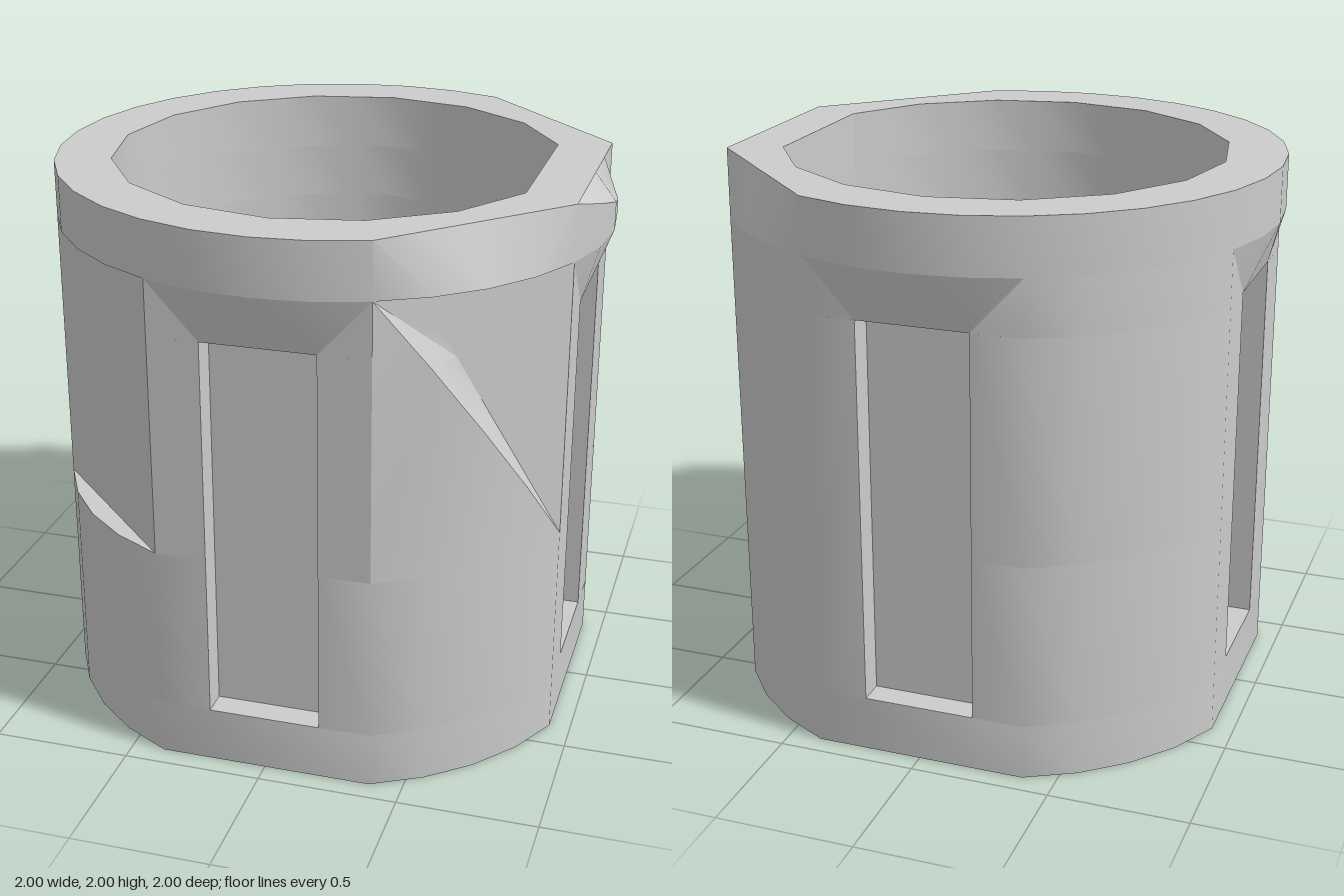
import * as THREE from 'three';
import { toCreasedNormals } from 'three/addons/utils/BufferGeometryUtils.js';

const N = 32, FLAT = 0.924, FLOOR = 0.83, SLOT = 0.2;
const mat = new THREE.MeshStandardMaterial({ color: 0xcccccc });
const matDouble = new THREE.MeshStandardMaterial({ color: 0xcccccc, side: THREE.DoubleSide });

// Points are [x, z] on a 32-sided outer circle of radius 1
const arc = i => [Math.cos(i * Math.PI / 16), Math.sin(i * Math.PI / 16)];
const mix = (a, b, t) => [a[0] + (b[0] - a[0]) * t, a[1] + (b[1] - a[1]) * t];

// 16-sided bore with its +x corner flattened
function bore(i) {
  const k = i % N;
  const corner = j => [0.8 * Math.cos(j * Math.PI / 8), 0.8 * Math.sin(j * Math.PI / 8)];
  if (k <= 2) return mix(corner(-1), corner(1), 0.5 + k / 4);
  if (k >= 30) return mix(corner(-1), corner(1), (k - 30) / 4);
  return mix(corner(Math.floor(k / 2)), corner(Math.ceil(k / 2)), 0.5);
}

// How far arc point i lies along the chord from arc point s to s + 4
function along(i, s) {
  const a = arc(s), b = arc(s + 4), p = arc(i);
  const dx = b[0] - a[0], dz = b[1] - a[1];
  return ((p[0] - a[0]) * dx + (p[1] - a[1]) * dz) / (dx * dx + dz * dz);
}

function mesh(name, geometry, material) {
  const m = new THREE.Mesh(toCreasedNormals(geometry, 0.5), material);
  m.name = name;
  return m;
}

function trianglesMesh(name, pts) {
  const g = new THREE.BufferGeometry();
  g.setAttribute('position', new THREE.Float32BufferAttribute(pts.flat(), 3));
  return mesh(name, g, matDouble);
}

// Horizontal slice of the sleeve with four flats, optional slots and corner cuts
function band(name, y0, y1, slots, cuts) {
  const outline = [];
  for (let i = 0; i < N; i++) {
    const k = i % 8;
    if (k === 0 && slots) {
      const [c, s] = arc(i);
      for (const [r, t] of [[FLAT, -SLOT], [FLOOR, -SLOT], [FLOOR, SLOT], [FLAT, SLOT]])
        outline.push([r * c - t * s, r * s + t * c]);
    }
    const onFlat = k < 2 || k > 6;
    const onCut = cuts && i < 16 && k > 2 && k < 6;
    if (!onFlat && !onCut) outline.push(arc(i));
  }
  const vec = p => new THREE.Vector2(p[0], -p[1]);
  const shape = new THREE.Shape(outline.map(vec));
  // The hole runs the opposite way round, so its wall faces the bore
  shape.holes.push(new THREE.Path(Array.from({ length: N }, (_, i) => vec(bore(N - i)))));
  const g = new THREE.ExtrudeGeometry(shape, { depth: y1 - y0, bevelEnabled: false });
  g.rotateX(-Math.PI / 2).translate(0, y0, 0);
  return mesh(name, g, mat);
}

// Collar lofted from rings; its +x side is bevelled from chords down to the circle
function collar() {
  const rings = [[], [], [], [], []];
  for (let i = 0; i < N; i++) {
    const k = i > 16 ? i - N : i;
    const [x, z] = arc(i), [u, v] = bore(i);
    let top = [x, z], edge = 2;
    if (Math.abs(k) < 6) {
      const s = k > 2 ? 2 : k < -2 ? -6 : -2;
      top = mix(arc(s), arc(s + 4), along(k, s));
      edge = Math.abs(k) > 2 ? 1.8 : 1.8 + 0.2 * along(k, -2);
    }
    rings[0].push([u, 1.8, v]);
    rings[1].push([u, 2, v]);
    rings[2].push([top[0], 2, top[1]]);
    rings[3].push([x, edge, z]);
    rings[4].push([x, 1.8, z]);
  }
  const pts = [];
  rings.forEach((a, r) => {
    const b = rings[(r + 1) % 5];
    for (let i = 0; i < N; i++) {
      const j = (i + 1) % N;
      pts.push(a[i], a[j], b[i], a[j], b[j], b[i]);
    }
  });
  return trianglesMesh('collar', pts);
}

// Sloped web between a slot top and the underside of the collar
function gusset() {
  const at = i => [arc(i)[0], 1.8, arc(i)[1]];
  const a = [FLAT, 1.6, -SLOT], b = [FLAT, 1.6, SLOT];
  return trianglesMesh('collarGusset', [
    a, at(-2), at(-1), a, at(-1), at(0), a, at(0), b,
    b, at(0), at(1), b, at(1), at(2)
  ]);
}

// Rounded wedge that fills the front left corner cut below a diagonal edge
function cornerWedge() {
  const pts = [];
  const column = i => {
    const t = along(i, 2), h = 0.8 + t;
    const [x, z] = arc(i), [u, v] = mix(arc(2), arc(6), 0.78 * t);
    return [[x, 0.8, z], [x, h, z], [u, h, v]];
  };
  for (let i = 2; i < 6; i++) {
    const a = column(i), b = column(i + 1);
    for (let r = 0; r < 2; r++)
      pts.push(a[r], a[r + 1], b[r], b[r], a[r + 1], b[r + 1]);
  }
  return trianglesMesh('cornerWedge', pts);
}

export function createModel() {
  const model = new THREE.Group();
  model.name = 'slottedSleeve';
  model.add(
    band('sleeveBase', 0, 0.2, false, false),
    band('lowerSlottedWall', 0.2, 0.8, true, false),
    band('upperSlottedWall', 0.8, 1.6, true, true),
    band('sleeveNeck', 1.6, 1.8, false, true),
    collar(),
    cornerWedge()
  );
  // One gusset above each slot
  for (let i = 0; i < 4; i++) {
    const g = gusset();
    g.rotation.y = i * Math.PI / 2;
    model.add(g);
  }
  return model;
}
